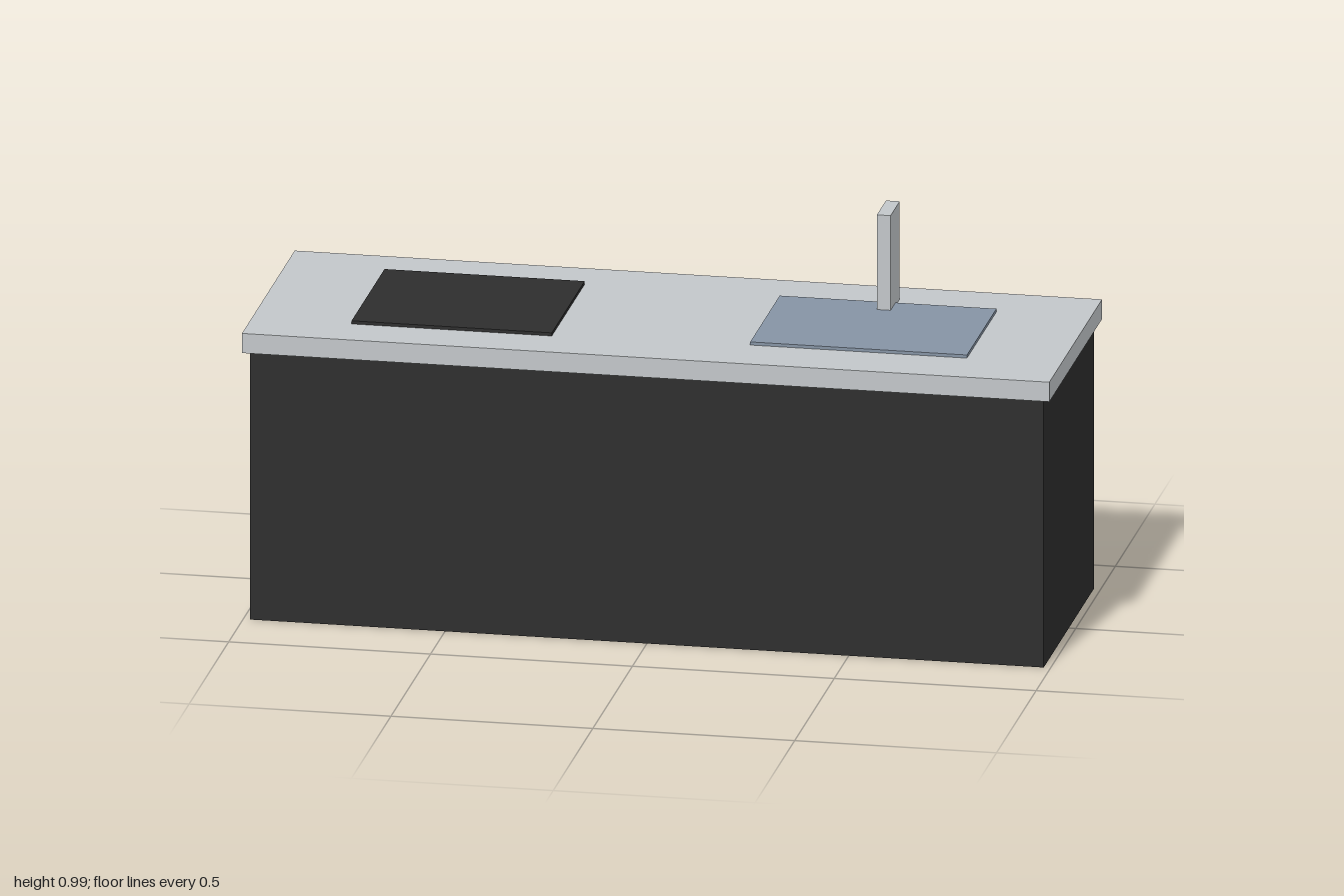
import * as THREE from 'three';

export function createModel() {
  const material = (name, color) => {
    const m = new THREE.MeshStandardMaterial({ color });
    m.name = name;
    return m;
  };
  const charcoal = material('charcoal', 0x2d2d2d);
  const stone = material('pale stone', 0xc2c6c9);
  const steel = material('blue steel', 0x8593a4);

  const group = new THREE.Group();
  group.name = 'kitchenIsland';

  // Box given by its extents along each axis
  const addBox = (name, mat, [x0, x1], [y0, y1], [z0, z1]) => {
    const mesh = new THREE.Mesh(new THREE.BoxGeometry(x1 - x0, y1 - y0, z1 - z0), mat);
    mesh.position.set((x0 + x1) / 2, (y0 + y1) / 2, (z0 + z1) / 2);
    mesh.name = name;
    group.add(mesh);
  };

  const counterBottom = 0.685;
  const counterTop = 0.735;
  const plateTop = 0.743;

  // Base and overhanging worktop
  addBox('cabinet', charcoal, [-0.983, 0.983], [0, counterBottom], [-0.317, 0.317]);
  addBox('countertop', stone, [-1, 1], [counterBottom, counterTop], [-0.333, 0.333]);

  // Thin plates set on the worktop
  addBox('cooktop', charcoal, [-0.753, -0.257], [counterTop, plateTop], [-0.208, 0.208]);
  addBox('sink', steel, [0.23, 0.767], [counterTop, plateTop], [-0.187, 0.185]);

  // Upright slab tap at the back of the sink
  addBox('faucet', stone, [0.483, 0.517], [counterTop, 0.985], [-0.24, -0.125]);

  return group;
}
